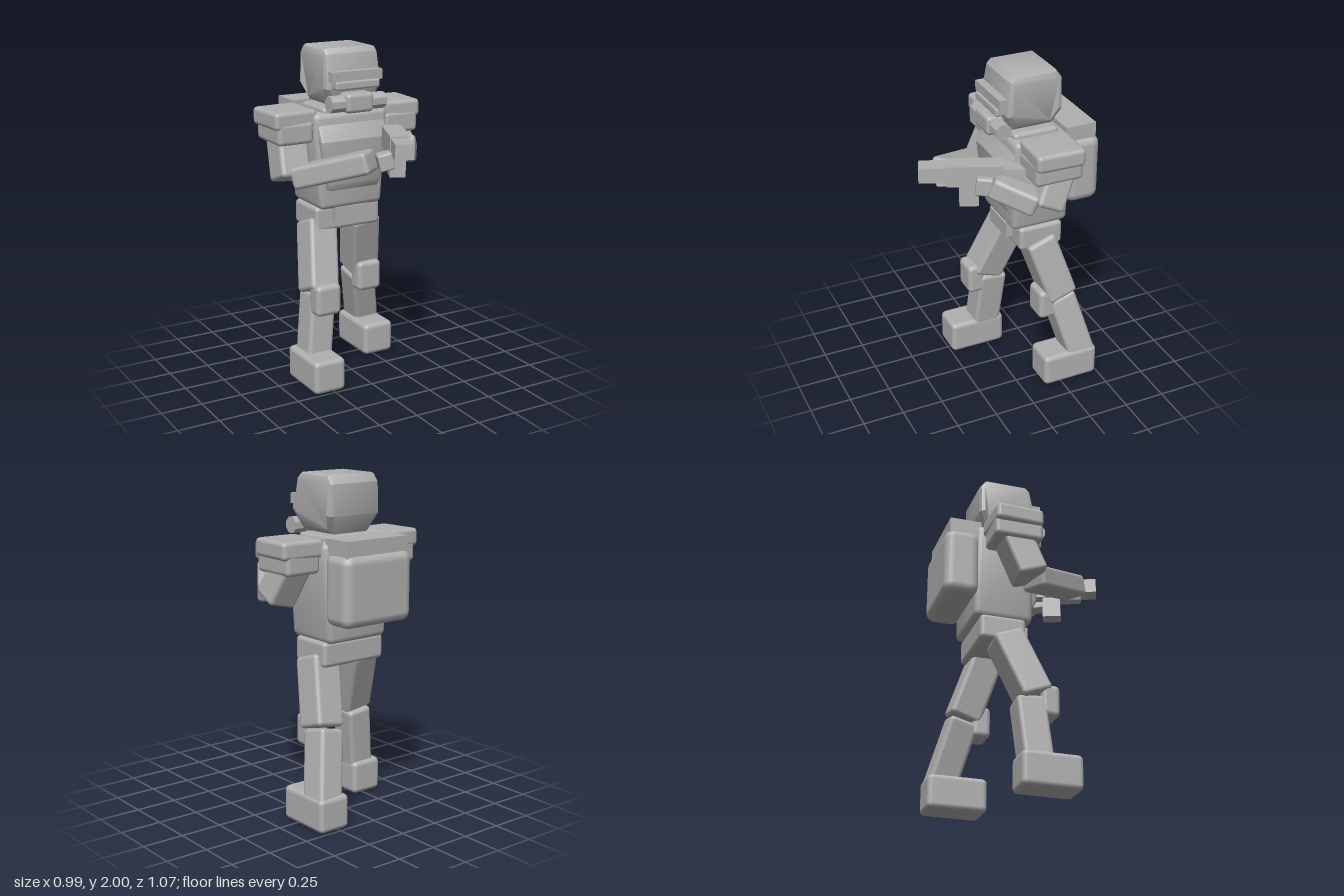
import * as THREE from 'three';
import { toCreasedNormals } from 'three/addons/utils/BufferGeometryUtils.js';
import { RoundedBoxGeometry } from 'three/addons/geometries/RoundedBoxGeometry.js';

const V = (a) => new THREE.Vector3(...a);
const lerp = THREE.MathUtils.lerp;

export function createModel() {
  const model = new THREE.Group();
  const grey = new THREE.MeshStandardMaterial({ color: 0xb0b0b0 });
  grey.name = 'plain grey';

  function add(name, geometry, parent = model) {
    const mesh = new THREE.Mesh(geometry, grey);
    mesh.name = name;
    parent.add(mesh);
    return mesh;
  }

  // Bevelled box given by its lower and upper corners
  function block(name, lo, hi, r = 0.025, parent = model) {
    const size = V(hi).sub(V(lo));
    const geometry = r > 0
      ? new RoundedBoxGeometry(size.x, size.y, size.z, 2, r)
      : new THREE.BoxGeometry(size.x, size.y, size.z);
    const mesh = add(name, geometry, parent);
    mesh.position.copy(V(lo).add(V(hi)).multiplyScalar(0.5));
    return mesh;
  }

  // Bevelled box running from a to b; the depth follows the hint direction
  function limb(name, a, b, width, depth, hint = [0, 0, 1], r = 0.025) {
    const y = V(b).sub(V(a));
    const length = y.length();
    y.normalize();
    const x = new THREE.Vector3().crossVectors(y, V(hint)).normalize();
    const z = new THREE.Vector3().crossVectors(x, y);
    const mesh = add(name, new RoundedBoxGeometry(width, length, depth, 2, r));
    mesh.quaternion.setFromRotationMatrix(new THREE.Matrix4().makeBasis(x, y, z));
    mesh.position.copy(V(a).add(V(b)).multiplyScalar(0.5));
    return mesh;
  }

  // Scale x by a rule of height
  function taper(geometry, rule) {
    const p = geometry.attributes.position;
    for (let i = 0; i < p.count; i++) p.setX(i, p.getX(i) * rule(p.getY(i)));
    return toCreasedNormals(geometry, 0.5);
  }

  // Side profile of [z, y] points, extruded across x with bevelled sides
  function sideProfile(points, width, bevel, rule) {
    const shape = new THREE.Shape(points.map(([z, y]) => new THREE.Vector2(-z, y)));
    const geometry = new THREE.ExtrudeGeometry(shape, {
      depth: width - 2 * bevel, bevelEnabled: true, bevelThickness: bevel,
      bevelSize: bevel, bevelOffset: -bevel, bevelSegments: 2,
    });
    geometry.translate(0, 0, -width / 2 + bevel).rotateY(Math.PI / 2);
    return taper(geometry, rule);
  }

  // Head: helmet narrowing to the jaw, visor, breathing mask
  add('helmet', sideProfile([
    [-0.02, 2], [-0.275, 2], [-0.312, 1.95], [-0.312, 1.77], [-0.265, 1.665],
    [-0.01, 1.665], [0.035, 1.77], [0.03, 1.86], [0.01, 1.97],
  ], 0.37, 0.03, (y) => (y < 1.77 ? lerp(0.75, 1, (y - 1.665) / 0.105) : lerp(1, 0.95, (y - 1.77) / 0.23))));
  block('visor', [-0.165, 1.815, -0.02], [0.165, 1.875, 0.075], 0);
  block('visorSlit', [-0.145, 1.77, -0.02], [0.145, 1.82, 0.087], 0.012);
  block('mask', [-0.09, 1.635, -0.04], [0.09, 1.75, 0.115]);
  for (const s of [-1, 1]) {
    const filter = add('maskFilter', new THREE.CylinderGeometry(0.05, 0.05, 0.11, 8).toNonIndexed());
    filter.geometry.computeVertexNormals();
    filter.rotation.set(Math.PI / 8, 0, Math.PI / 2);
    filter.position.set(s * 0.125, 1.69, 0.055);
  }
  block('collar', [-0.18, 1.58, -0.29], [0.18, 1.66, -0.01]);

  // Body
  const torso = new RoundedBoxGeometry(0.49, 0.58, 0.355, 2, 0.035);
  torso.translate(0, 1.34, -0.168);
  add('torso', taper(torso, (y) => lerp(0.84, 1, Math.min(1, (y - 1.05) / 0.3))));
  add('chestPlate', sideProfile([
    [-0.06, 1.6], [-0.01, 1.6], [0.055, 1.47], [0.045, 1.21], [0.025, 1.17], [-0.06, 1.17],
  ], 0.45, 0.02, (y) => lerp(0.76, 1, Math.min(1, (y - 1.17) / 0.28))));
  block('pelvis', [-0.22, 0.91, -0.31], [0.22, 1.06, -0.035]);
  block('buckle', [-0.112, 0.965, -0.06], [0.112, 1.06, 0.01], 0);
  block('backpack', [-0.245, 1.17, -0.535], [0.245, 1.58, -0.325], 0.055);
  block('backpackTop', [-0.22, 1.56, -0.507], [0.22, 1.66, -0.317], 0);

  // Shoulder pads
  for (const s of [-1, 1]) {
    const upper = block('shoulderPad', [0.215, 1.55, -0.305], [0.49, 1.655, -0.015]);
    const lower = block('shoulder', [0.24, 1.46, -0.3], [0.468, 1.59, -0.01]);
    upper.position.x *= s;
    lower.position.x *= s;
    upper.rotation.y = -s * 0.04;
  }

  // Arms: one reaches across to the front of the rifle, the other holds it close
  const up = [0, 1, 0];
  limb('rightUpperArm', [-0.345, 1.53, -0.17], [-0.37, 1.25, -0.06], 0.19, 0.18);
  limb('rightForearm', [-0.345, 1.265, -0.04], [-0.06, 1.405, 0.335], 0.16, 0.13, up);
  limb('rightHand', [-0.025, 1.39, 0.34], [0.055, 1.41, 0.37], 0.09, 0.1, up, 0.012);
  limb('leftUpperArm', [0.355, 1.53, -0.2], [0.405, 1.3, -0.09], 0.18, 0.17);
  limb('leftForearm', [0.41, 1.33, -0.05], [0.26, 1.43, 0.16], 0.14, 0.13, up);
  limb('leftHand', [0.255, 1.415, 0.155], [0.215, 1.425, 0.245], 0.085, 0.11, up, 0.015);

  // Rifle, pointing forwards and inwards
  const rifle = new THREE.Group();
  rifle.name = 'rifle';
  rifle.position.set(0.177, 0, 0.2);
  rifle.rotation.y = -0.4;
  model.add(rifle);
  block('barrel', [-0.054, 1.435, 0.18], [0.054, 1.525, 0.345], 0, rifle);
  block('rifleBody', [-0.058, 1.41, -0.13], [0.058, 1.535, 0.19], 0, rifle);
  block('stock', [-0.055, 1.42, -0.3], [0.055, 1.515, -0.13], 0, rifle);
  block('magazine', [-0.045, 1.28, 0.01], [0.045, 1.41, 0.12], 0, rifle);

  // Legs: the right one steps forward, the left one trails
  const legs = [
    { side: 'right', hip: [-0.155, 0.95, -0.15], knee: [-0.23, 0.56, 0.01],
      shin: [-0.215, 0.55, -0.03], ankle: [-0.265, 0.14, 0.005],
      plate: [-0.225, 0.535, 0.085], boot: [-0.278, 0.102, 0.067] },
    { side: 'left', hip: [0.155, 0.95, -0.165], knee: [0.222, 0.56, -0.29],
      shin: [0.21, 0.55, -0.29], ankle: [0.305, 0.14, -0.4],
      plate: [0.215, 0.535, -0.19], boot: [0.282, 0.102, -0.313] },
  ];
  for (const leg of legs) {
    limb(leg.side + 'Thigh', leg.hip, leg.knee, 0.19, 0.19);
    limb(leg.side + 'Shin', leg.shin, leg.ankle, 0.165, 0.175);
    const plate = add(leg.side + 'KneePlate', new RoundedBoxGeometry(0.165, 0.19, 0.11, 2, 0.03));
    plate.position.set(...leg.plate);
    const boot = add(leg.side + 'Boot', new RoundedBoxGeometry(0.207, 0.204, 0.355, 2, 0.03));
    boot.position.set(...leg.boot);
  }
  return model;
}
